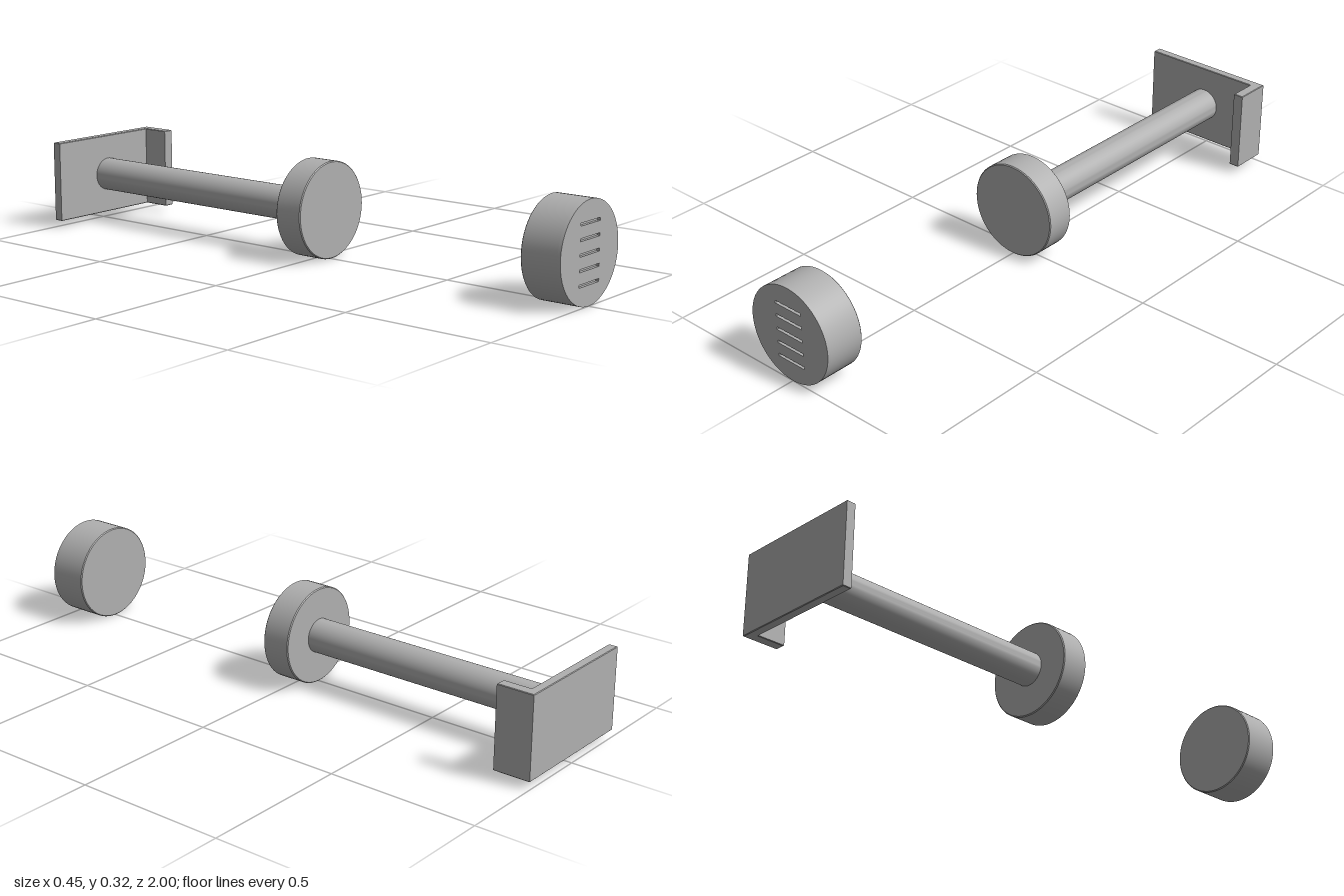
import * as THREE from 'three';
import { toCreasedNormals } from 'three/addons/utils/BufferGeometryUtils.js';

const CENTER_Y = 0.16;
const RADIUS = 0.159;
const EDGE = 0.003;

export function createModel() {
  const model = new THREE.Group();
  const grey = new THREE.MeshStandardMaterial({ color: 0xb0b0b0 });
  grey.name = 'plain grey';

  const add = (name, geometry, y = CENTER_Y) => {
    const mesh = new THREE.Mesh(toCreasedNormals(geometry, 0.5), grey);
    mesh.name = name;
    mesh.position.y = y;
    model.add(mesh);
  };

  // Solid of revolution along z, from [radius, z] pairs running back to front
  const turned = (points) => new THREE.LatheGeometry(
    points.map(([r, z]) => new THREE.Vector2(r, z)), 64).rotateX(Math.PI / 2);

  // Detached front cap: body with a slotted face plate
  const faceDepth = 0.01;
  add('capBody', turned([
    [0, 0.866], [RADIUS - EDGE, 0.866], [RADIUS, 0.866 + EDGE],
    [RADIUS, 1 - faceDepth], [0, 1 - faceDepth],
  ]));

  const face = new THREE.Shape().absarc(0, 0, RADIUS, 0, Math.PI * 2);
  const halfW = 0.054, halfH = 0.0045;
  for (let i = -2; i <= 2; i++) {
    const y = i * 0.0455;
    face.holes.push(new THREE.Path([
      new THREE.Vector2(-halfW, y - halfH), new THREE.Vector2(-halfW, y + halfH),
      new THREE.Vector2(halfW, y + halfH), new THREE.Vector2(halfW, y - halfH),
    ]));
  }
  add('capSlottedFace', new THREE.ExtrudeGeometry(face, {
    depth: faceDepth, bevelEnabled: false, curveSegments: 32,
  }).translate(0, 0, 1 - faceDepth));

  // Round head at the end of the shaft
  add('shaftHead', turned([
    [0, -0.052], [RADIUS - EDGE, -0.052], [RADIUS, -0.052 + EDGE],
    [RADIUS, 0.046 - EDGE], [RADIUS - EDGE, 0.046], [0, 0.046],
  ]));

  // Shaft
  add('shaft', new THREE.CylinderGeometry(0.056, 0.056, 0.93, 48, 1, true)
    .rotateX(Math.PI / 2).translate(0, 0, -0.515));

  // L-shaped back bracket, drawn in plan and extruded upward
  const plan = new THREE.Shape([
    [-0.227, 1], [-0.227, 0.97], [0.192, 0.97],
    [0.192, 0.876], [0.227, 0.876], [0.227, 1],
  ].map(([x, s]) => new THREE.Vector2(x, s)));
  const bevel = 0.002;
  add('backBracket', new THREE.ExtrudeGeometry(plan, {
    depth: 0.272 - 2 * bevel, bevelThickness: bevel, bevelSize: bevel,
    bevelOffset: -bevel, bevelSegments: 1,
  }).rotateX(-Math.PI / 2), 0.025 + bevel);

  return model;
}
